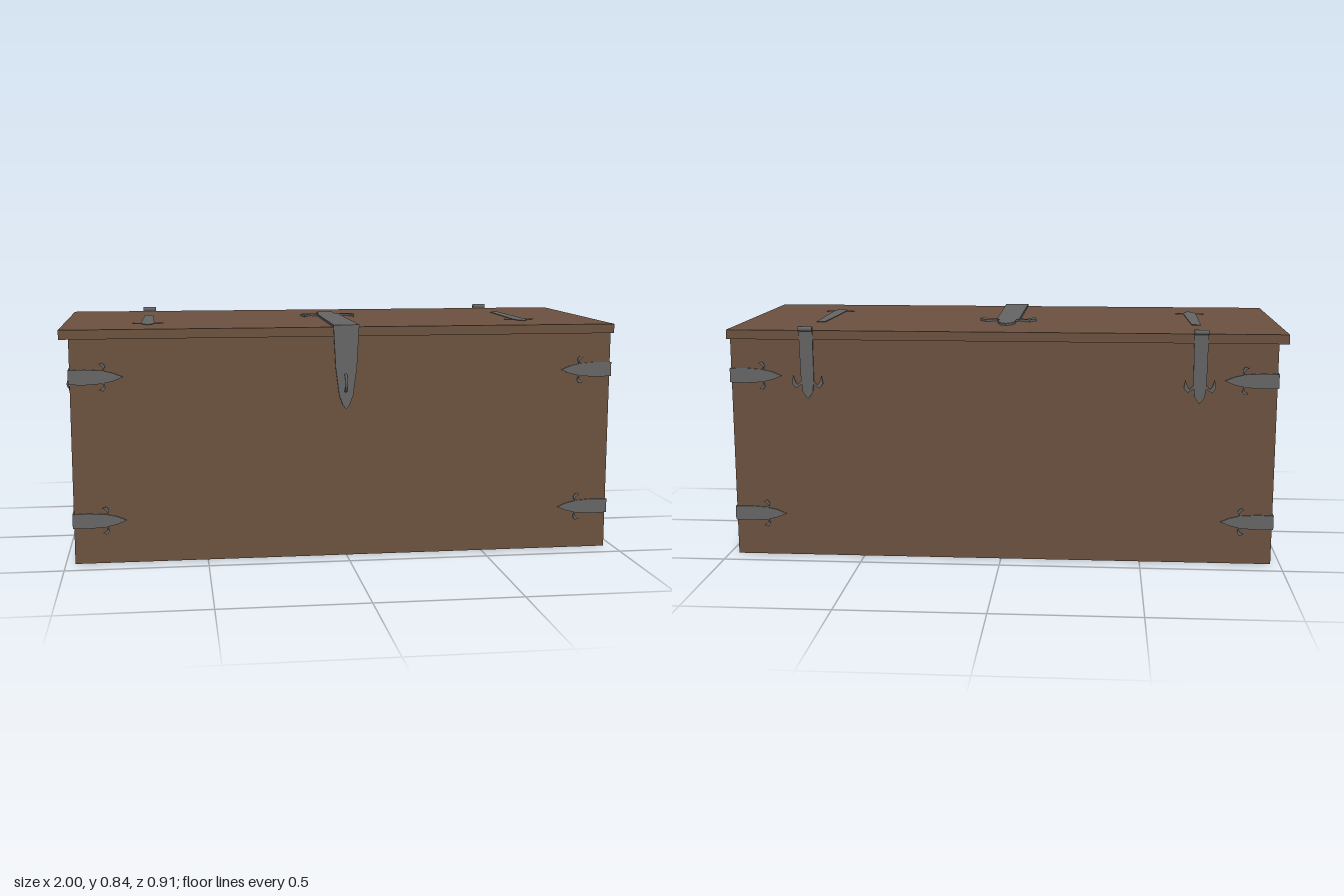
import * as THREE from 'three';

const V = (x, y, z) => new THREE.Vector3(x, y, z);

export function createModel() {
  const wood = new THREE.MeshStandardMaterial({ color: 0x6b513f });
  wood.name = 'brown wood';
  const iron = new THREE.MeshStandardMaterial({ color: 0x656565 });
  iron.name = 'grey iron';

  const chest = new THREE.Group();
  chest.name = 'chest';

  const add = (name, geometry, material, parent = chest) => {
    const mesh = new THREE.Mesh(geometry, material);
    mesh.name = name;
    parent.add(mesh);
    return mesh;
  };

  // Box given by its limits
  const box = (name, x0, x1, y0, y1, z0, z1) =>
    add(name, new THREE.BoxGeometry(x1 - x0, y1 - y0, z1 - z0), wood)
      .position.set((x0 + x1) / 2, (y0 + y1) / 2, (z0 + z1) / 2);

  // Flat iron plate: drawn along u, lying on a surface with normal n
  const plate = (name, shapes, origin, u, n, depth = 0.005) => {
    const geometry = new THREE.ExtrudeGeometry(shapes, { depth, bevelEnabled: false });
    u.normalize();
    n.normalize();
    const basis = new THREE.Matrix4().makeBasis(u, n.clone().cross(u), n).setPosition(origin);
    return add(name, geometry.applyMatrix4(basis), iron);
  };

  // Symmetric strap outline from [distance, half width] pairs
  const strapShape = (profile) => new THREE.Shape([
    ...profile.map(([u, w]) => new THREE.Vector2(u, w)),
    ...profile.filter(([, w]) => w > 0).reverse().map(([u, w]) => new THREE.Vector2(u, -w)),
  ]);

  // Pair of hooked barbs curling back beside a strap
  const HOOK = [[0, 0], [0.43, 0.64], [-0.07, 1], [-0.86, 0.86], [-0.2, 0.64], [0.07, 0.43], [-0.36, 0]];
  const barbs = (u, w, size, back = 1) => [1, -1].map((s) => new THREE.Shape(
    HOOK.map(([a, b]) => new THREE.Vector2(u + a * size * back, s * (w + b * size)))));

  // Body and lid
  box('body', -0.967, 0.967, 0, 0.797, -0.42, 0.415);
  box('lid', -1, 0.977, 0.795, 0.828, -0.433, 0.423);

  // Corner bands, wrapping each edge at two heights
  const band = [
    strapShape([[-0.004, 0.025], [0.05, 0.027], [0.11, 0.023], [0.15, 0.014], [0.183, 0]]),
    ...barbs(0.115, 0.016, 0.034, 0.5),
  ];
  for (const y of [0.154, 0.663]) {
    for (const sx of [1, -1]) {
      for (const [sz, z] of [[1, 0.415], [-1, -0.42]]) {
        plate('cornerBand', band, V(sx * 0.967, y, z), V(-sx, 0, 0), V(0, 0, sz));
        plate('cornerBand', band, V(sx * 0.967, y, z), V(0, 0, -sz), V(sx, 0, 0));
      }
    }
  }

  // Hasp: long strap over the lid, tongue down the front, staple
  plate('haspLidStrap', [
    strapShape([[0, 0.046], [0.52, 0.042], [0.56, 0.03], [0.61, 0.033], [0.65, 0.02], [0.672, 0]]),
    ...barbs(0.525, 0.036, 0.07),
  ], V(-0.004, 0.828, 0.428), V(0, 0, -1), V(0, 1, 0), 0.008);
  plate('haspTongue',
    [strapShape([[0, 0.046], [0.15, 0.038], [0.25, 0.025], [0.285, 0.012], [0.3, 0]])],
    V(-0.004, 0.836, 0.424), V(0, -1, 0), V(0, 0, 1), 0.006);
  const staple = add('staple', new THREE.TorusGeometry(0.03, 0.005, 6, 10, Math.PI), iron);
  staple.rotation.set(0, -Math.PI / 2, -Math.PI / 2, 'YXZ');
  staple.position.set(-0.006, 0.63, 0.424);

  // Hinges: lid strap, rolled barrel and back strap
  for (const x of [-0.698, 0.69]) {
    plate('hingeLidStrap', [
      strapShape([[0, 0.016], [0.2, 0.021], [0.36, 0.024], [0.41, 0.017], [0.435, 0]]),
      ...barbs(0.365, 0.02, 0.036, 0.6),
    ], V(x, 0.828, -0.185), V(0, 0, 1), V(0, 1, 0), 0.002);
    plate('hingeBackStrap', [
      strapShape([[0, 0.025], [0.18, 0.023], [0.23, 0.018], [0.255, 0]]),
      ...barbs(0.2, 0.02, 0.036),
    ], V(x, 0.835, -0.434), V(0, -0.25, 0.012), V(0, -0.012, -0.25));
    const barrel = add('hingeBarrel', new THREE.CylinderGeometry(0.009, 0.009, 0.05, 10), iron);
    barrel.rotation.z = Math.PI / 2;
    barrel.position.set(x, 0.835, -0.442);
  }

  // Side handles: diamond plates, eye rings and a hanging bail
  const diamond = new THREE.Shape([[0.09, 0], [0, 0.09], [-0.09, 0], [0, -0.09]]
    .map(([a, b]) => new THREE.Vector2(a, b)));
  const bail = [[0.172, 0.585], [0.165, 0.593], [0.14, 0.602], [0.116, 0.6], [0.114, 0.535],
    [-0.118, 0.531], [-0.121, 0.6], [-0.15, 0.602], [-0.17, 0.593], [-0.177, 0.585]];
  for (const s of [1, -1]) {
    for (const z of [0.14, -0.15]) {
      plate('handlePlate', [diamond], V(s * 0.967, 0.6, z), V(0, 0, -s), V(s, 0, 0), 0.004);
      add('handleEye', new THREE.TorusGeometry(0.019, 0.004, 6, 12), iron)
        .position.set(s * 0.976, 0.605, z);
    }
    const path = new THREE.CurvePath();
    const points = bail.map(([z, y]) => V(s * 0.984, y, z));
    for (let i = 1; i < points.length; i++) path.add(new THREE.LineCurve3(points[i - 1], points[i]));
    add('handleBail', new THREE.TubeGeometry(path, 90, 0.004, 6), iron);
  }

  return chest;
}
